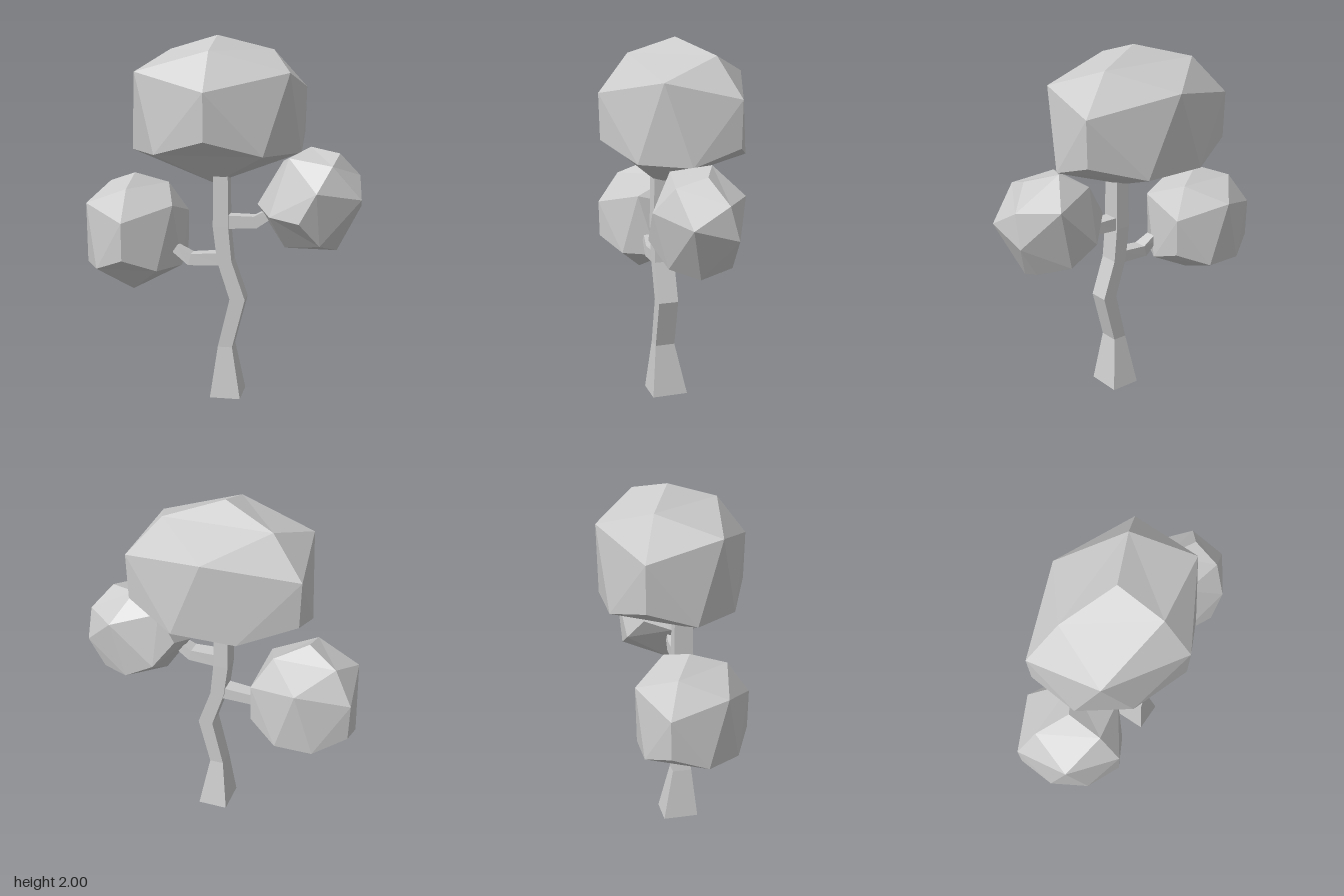
import * as THREE from 'three';

const material = new THREE.MeshStandardMaterial({ color: 0xcccccc, flatShading: true });

function makeMesh(name, points) {
  const geometry = new THREE.BufferGeometry().setFromPoints(points);
  geometry.computeVertexNormals();
  const mesh = new THREE.Mesh(geometry, material);
  mesh.name = name;
  return mesh;
}

// Point on the unit sphere at fraction t of the arc from a to b
function slerp(a, b, t) {
  const w = a.angleTo(b);
  if (w < 1e-6) return a.clone();
  return a.clone().multiplyScalar(Math.sin((1 - t) * w))
    .addScaledVector(b, Math.sin(t * w)).divideScalar(Math.sin(w));
}

// Faceted crown: a tetrahedron divided in thirds and rounded onto a sphere
function makeCrown(name, position, scale, tilt = 0) {
  const q = Math.sqrt(8) / 3, n = 3;
  const top = new THREE.Vector3(0, 1, 0);
  const [front, right, left] = [0, 1, 2].map(i => {
    const a = i * Math.PI * 2 / 3;
    return new THREE.Vector3(Math.sin(a) * q, -1 / 3, Math.cos(a) * q);
  });
  const faces = [[top, front, right], [top, right, left], [top, left, front], [front, left, right]];
  const points = [];
  for (const [p, a, b] of faces) {
    const rows = [];
    for (let i = 0; i <= n; i++) {
      const l = slerp(p, a, i / n), r = slerp(p, b, i / n);
      rows.push(Array.from({ length: i + 1 }, (_, j) => slerp(l, r, i ? j / i : 0)));
    }
    for (let i = 0; i < n; i++) {
      for (let j = 0; j <= i; j++) {
        points.push(rows[i][j], rows[i + 1][j], rows[i + 1][j + 1]);
        if (j < i) points.push(rows[i][j], rows[i + 1][j + 1], rows[i][j + 1]);
      }
    }
  }
  const mesh = makeMesh(name, points);
  mesh.position.set(...position);
  mesh.scale.set(...scale);
  mesh.rotation.z = tilt;
  return mesh;
}

// Four-sided limb through stations [x, y, z, width, depth, angle of the width in degrees]
function makeLimb(name, stations) {
  const rings = stations.map(([x, y, z, w, d, deg]) => {
    const a = THREE.MathUtils.degToRad(deg);
    return [[1, 1], [1, -1], [-1, -1], [-1, 1]].map(([u, v]) => new THREE.Vector3(
      x + Math.cos(a) * u * w / 2, y + Math.sin(a) * u * w / 2, z + v * d / 2));
  });
  const points = [];
  const quad = (a, b, c, d) => points.push(a, b, c, a, c, d);
  for (let i = 0; i + 1 < rings.length; i++) {
    for (let k = 0; k < 4; k++) {
      const m = (k + 1) % 4;
      quad(rings[i][k], rings[i][m], rings[i + 1][m], rings[i + 1][k]);
    }
  }
  quad(...[...rings[0]].reverse());
  quad(...rings[rings.length - 1]);
  return makeMesh(name, points);
}

export function createModel() {
  const tree = new THREE.Group();
  tree.name = 'tree';

  // Crooked trunk with a flared foot
  tree.add(makeLimb('trunk', [
    [0.042, 0, 0.06, 0.17, 0.2, 0],
    [0.037, 0.29, 0.075, 0.08, 0.11, 0],
    [0.105, 0.565, 0.075, 0.085, 0.11, 0],
    [0.033, 0.78, 0.075, 0.08, 0.11, 0],
    [0.012, 0.97, 0.075, 0.085, 0.11, 0],
    [0.011, 1.3, 0.075, 0.08, 0.1, 0],
  ]));

  // Side branches, each bending up towards its crown
  tree.add(makeLimb('rightBranch', [
    [0.03, 0.79, 0.075, 0.07, 0.09, 90],
    [-0.165, 0.778, 0.075, 0.066, 0.08, 75],
    [-0.25, 0.835, 0.075, 0.045, 0.06, 55],
  ]));
  tree.add(makeLimb('leftBranch', [
    [0.02, 0.997, 0.075, 0.075, 0.09, -90],
    [0.2, 1.0, 0.075, 0.066, 0.08, -75],
    [0.3, 1.06, 0.075, 0.05, 0.06, -58],
  ]));

  // Foliage crowns
  tree.add(makeCrown('topCrown', [-0.03, 1.598, -0.017], [0.567, 0.402, 0.446]));
  tree.add(makeCrown('rightCrown', [-0.5, 0.909, -0.008], [0.332, 0.331, 0.331]));
  tree.add(makeCrown('leftCrown', [0.502, 1.116, 0.03], [0.3, 0.298, 0.265], -0.506));

  return tree;
}
